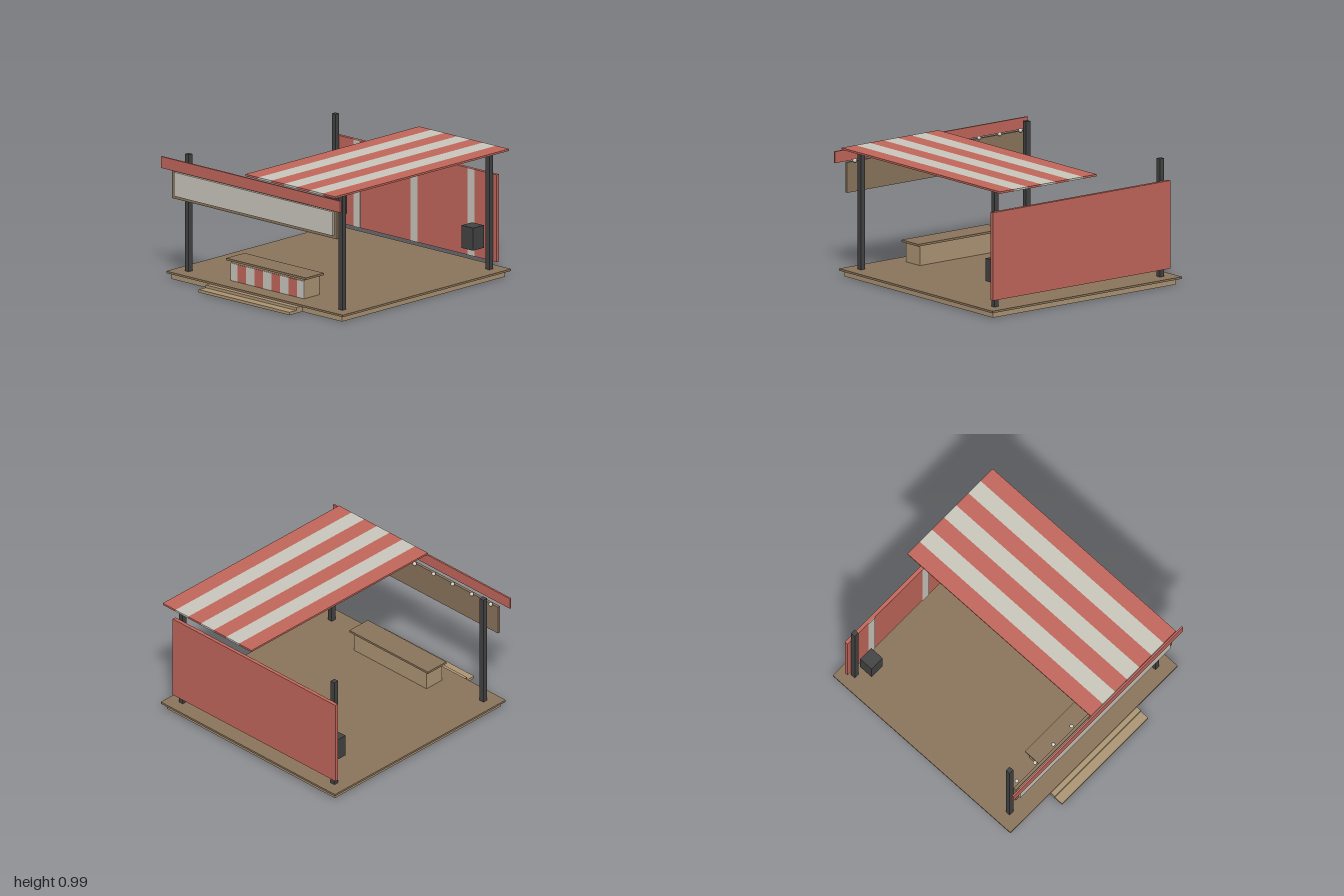
import * as THREE from 'three';

const mat = (name, color) => {
  const m = new THREE.MeshStandardMaterial({ color });
  m.name = name;
  return m;
};

export function createModel() {
  const red = mat('red', 0xc4685c);
  const cream = mat('cream', 0xccc9be);
  const brown = mat('brown', 0x8c765c);
  const tan = mat('tan', 0xaf9776);
  const charcoal = mat('charcoal', 0x444444);

  const model = new THREE.Group();
  model.name = 'marketStall';

  const group = (name) => {
    const g = new THREE.Group();
    g.name = name;
    model.add(g);
    return g;
  };

  // box given by its limits on each axis
  const box = (parent, name, material, [x0, x1], [y0, y1], [z0, z1]) => {
    const mesh = new THREE.Mesh(new THREE.BoxGeometry(x1 - x0, y1 - y0, z1 - z0), material);
    mesh.position.set((x0 + x1) / 2, (y0 + y1) / 2, (z0 + z1) / 2);
    mesh.name = name;
    parent.add(mesh);
  };
  const wide = (half) => [-half, half];

  // platform and front steps
  const platform = group('platform');
  box(platform, 'base', tan, wide(0.895), [0.001, 0.046], [-0.938, 0.86]);
  box(platform, 'deck', brown, wide(0.927), [0.046, 0.062], [-0.97, 0.885]);
  box(platform, 'upperStep', tan, wide(0.478), [0.001, 0.045], [0.86, 0.925]);
  box(platform, 'lowerStep', tan, wide(0.478), [0.001, 0.023], [0.925, 1]);

  // corner posts and rear speakers, mirrored
  const posts = group('posts');
  const speakers = group('speakers');
  for (const s of [-1, 1]) {
    const x = s * 0.808;
    box(posts, 'frontPost', charcoal, [x - 0.02, x + 0.02], [0, 0.984], [0.744, 0.784]);
    box(posts, 'backPost', charcoal, [x - 0.02, x + 0.02], [0, 0.984], [-0.874, -0.834]);
    const sx = s * 0.718;
    box(speakers, 'speaker', charcoal, [sx - 0.061, sx + 0.061], [0.229, 0.407], [-0.824, -0.705]);
  }

  // striped roof covering one half
  const roof = group('roof');
  const roofStart = -0.068, stripe = 0.135;
  for (let i = 0; i < 7; i++) {
    const x = roofStart + i * stripe;
    box(roof, 'roofStripe', i % 2 ? cream : red, [x, x + stripe], [0.977, 0.992], [-1, 0.915]);
  }

  // fascia and sign board
  const sign = group('sign');
  box(sign, 'fascia', red, wide(0.942), [0.881, 0.971], [0.915, 0.929]);
  box(sign, 'signBoard', brown, wide(0.866), [0.648, 0.885], [0.862, 0.884]);
  box(sign, 'signPanel', cream, wide(0.833), [0.673, 0.862], [0.884, 0.901]);

  // string of bulbs behind the sign
  const bulbs = group('bulbs');
  const bulbShape = new THREE.SphereGeometry(0.016, 16, 12);
  for (let i = -4; i <= 4; i++) {
    const bulb = new THREE.Mesh(bulbShape, cream);
    bulb.name = 'bulb';
    bulb.position.set(i * 0.2025, 0.896, 0.841);
    bulbs.add(bulb);
  }

  // back wall with painted stripes on the inside
  const wall = group('backWall');
  box(wall, 'wallPanel', red, wide(0.866), [0.123, 0.81], [-0.903, -0.874]);
  for (const x of [-0.6, 0, 0.6]) {
    box(wall, 'wallStripe', cream, [x - 0.036, x + 0.036], [0.123, 0.81], [-0.874, -0.871]);
  }

  // counter with striped front
  const counter = group('counter');
  box(counter, 'counterBody', tan, wide(0.387), [0.062, 0.218], [0.576, 0.739]);
  box(counter, 'counterTop', brown, wide(0.418), [0.218, 0.235], [0.558, 0.759]);
  for (let i = -4; i <= 4; i++) {
    const x0 = Math.max(i * 0.09 - 0.045, -0.387);
    const x1 = Math.min(i * 0.09 + 0.045, 0.387);
    box(counter, 'counterStripe', i % 2 ? red : cream, [x0, x1], [0.062, 0.2], [0.739, 0.745]);
  }

  return model;
}
